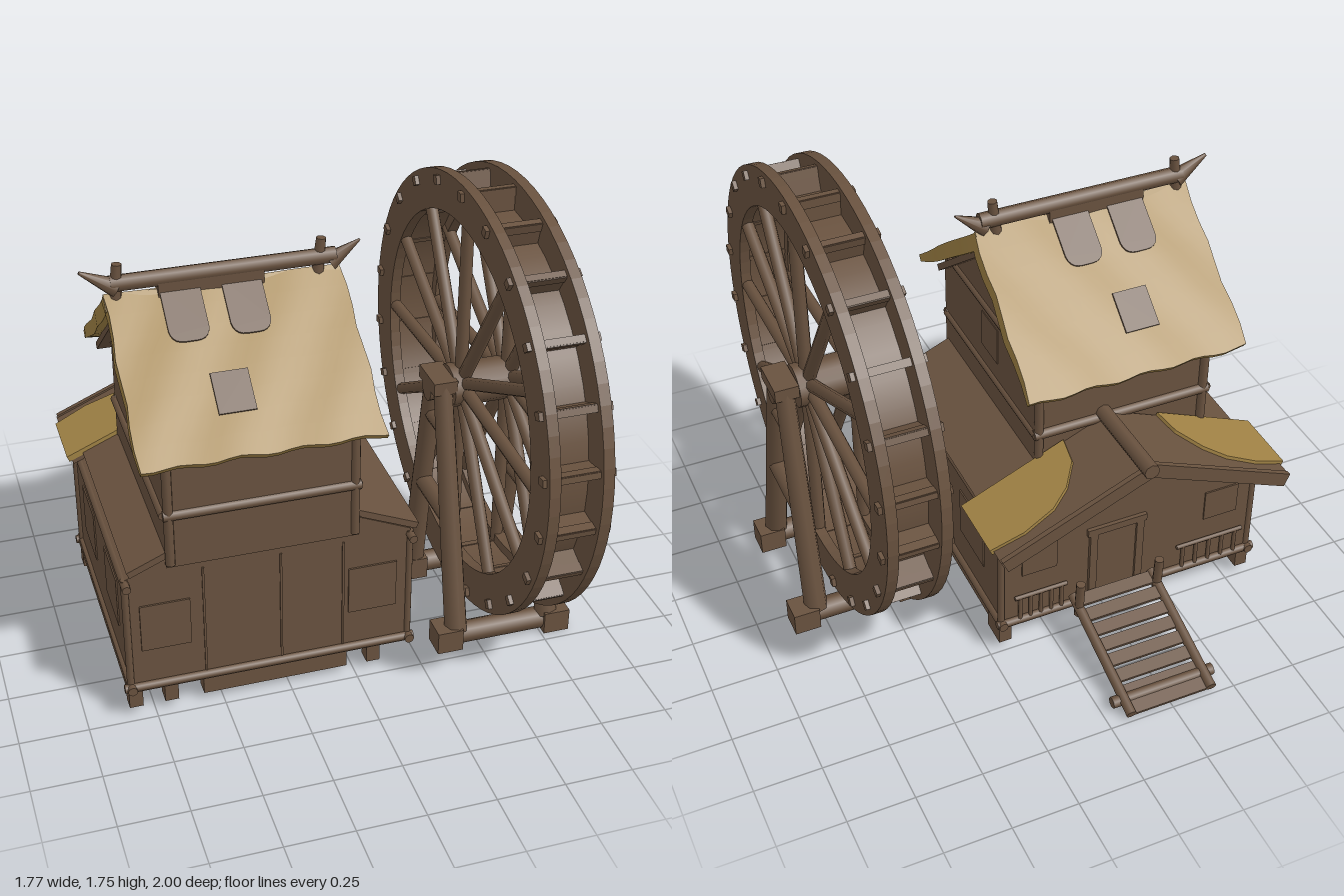
import * as THREE from 'three';

export function createModel() {
  const root = new THREE.Group();
  const timber = new THREE.MeshStandardMaterial({ color: 0x69523f });
  timber.name = 'timber';
  const thatch = new THREE.MeshStandardMaterial({ color: 0xa08245 });
  thatch.name = 'thatch';
  const openTimber = new THREE.MeshStandardMaterial({ color: 0x69523f, side: THREE.DoubleSide });
  openTimber.name = 'timber sheet';

  const add = (parent, name, geo, mat = timber) => {
    const m = new THREE.Mesh(geo, mat);
    m.name = name;
    parent.add(m);
    return m;
  };
  // box given by its min and max corners
  const box = (parent, name, a, b) => {
    const m = add(parent, name, new THREE.BoxGeometry(b[0] - a[0], b[1] - a[1], b[2] - a[2]));
    m.position.set((a[0] + b[0]) / 2, (a[1] + b[1]) / 2, (a[2] + b[2]) / 2);
    return m;
  };
  // round pole between two points
  const pole = (parent, name, a, b, r0, r1 = r0, sides = 8) => {
    const p = new THREE.Vector3(...a), q = new THREE.Vector3(...b);
    const d = q.clone().sub(p);
    const m = add(parent, name, new THREE.CylinderGeometry(r1, r0, d.length(), sides));
    m.position.copy(p).add(q).multiplyScalar(0.5);
    m.quaternion.setFromUnitVectors(new THREE.Vector3(0, 1, 0), d.normalize());
    return m;
  };
  const prism = (points, depth) => new THREE.ExtrudeGeometry(
    new THREE.Shape(points.map(p => new THREE.Vector2(...p))), { depth, bevelEnabled: false });

  // ---- lower storey ----
  const house = new THREE.Group();
  house.name = 'house';
  root.add(house);
  const lower = add(house, 'lowerWalls', prism(
    [[-0.835, 0.15], [0.2, 0.15], [0.2, 0.62], [-0.3, 0.84], [-0.835, 0.61]], 0.955));
  lower.position.z = -0.485;
  box(house, 'floor', [-0.85, 0.13, -0.5], [0.21, 0.155, 0.485]);
  for (const z of [-0.49, 0.475]) pole(house, 'floorBeam', [-0.86, 0.145, z], [0.22, 0.145, z], 0.016);
  for (const x of [-0.835, 0.2]) {
    pole(house, 'floorBeam', [x, 0.145, -0.51], [x, 0.145, 0.5], 0.018);
    pole(house, 'eaveBeam', [x, 0.595, -0.5], [x, 0.595, 0.51], 0.016);
    for (const z of [-0.48, 0.465]) pole(house, 'cornerPost', [x, 0.14, z], [x, 0.61, z], 0.014);
  }
  for (const [x, z] of [[-0.69, 0.44], [0.07, 0.44], [-0.82, -0.46], [0.185, -0.46], [-0.82, 0.44], [0.185, -0.41]])
    box(house, 'stilt', [x - 0.025, 0.05, z - 0.028], [x + 0.025, 0.14, z + 0.028]);
  box(house, 'frontSill', [-0.57, 0.045, 0.4], [-0.03, 0.13, 0.46]);
  box(house, 'rightSill', [0.12, 0.05, -0.38], [0.19, 0.13, 0.1]);

  // boards and shutters on the lower walls
  for (const x of [-0.7, 0.06]) box(house, 'frontShutter', [x - 0.09, 0.3, 0.47], [x + 0.09, 0.49, 0.477]);
  for (const x of [-0.56, -0.28, -0.05]) box(house, 'wallBatten', [x - 0.004, 0.16, 0.47], [x + 0.004, 0.61, 0.475]);
  for (const x of [-0.84, 0.199]) for (const z of [-0.22, 0.2])
    box(house, 'sideShutter', [x, 0.3, z - 0.11], [x + 0.006, 0.5, z + 0.11]);
  for (const x of [-0.7, 0.05]) box(house, 'backWindow', [x - 0.07, 0.36, -0.491], [x + 0.07, 0.49, -0.485]);

  // back door, railings and ramp
  box(house, 'door', [-0.34, 0.16, -0.49], [-0.18, 0.46, -0.485]);
  for (const x of [-0.355, -0.165]) box(house, 'doorFrame', [x - 0.015, 0.16, -0.5], [x + 0.015, 0.48, -0.48]);
  box(house, 'doorLintel', [-0.38, 0.46, -0.5], [-0.14, 0.49, -0.48]);
  for (const [x0, x1] of [[-0.8, -0.52], [-0.06, 0.15]]) {
    pole(house, 'railing', [x0, 0.26, -0.495], [x1, 0.26, -0.495], 0.009, 0.009, 6);
    for (let i = 0; i < 5; i++) {
      const x = x0 + (x1 - x0) * (i + 0.5) / 5;
      pole(house, 'railPost', [x, 0.15, -0.495], [x, 0.26, -0.495], 0.008, 0.008, 6);
    }
  }
  const ramp = new THREE.Group();
  ramp.name = 'ramp';
  root.add(ramp);
  for (const x of [-0.41, -0.085]) {
    pole(ramp, 'rampRail', [x, 0.19, -0.5], [x, 0.04, -0.99], 0.02);
    pole(ramp, 'rampPost', [x, 0.14, -0.55], [x, 0.3, -0.56], 0.018);
  }
  for (let i = 0; i < 8; i++) {
    const m = add(ramp, 'rampPlank', new THREE.BoxGeometry(0.35, 0.015, 0.05));
    m.position.set(-0.25, 0.185 - i * 0.0205, -0.53 - i * 0.062);
    m.rotation.x = -0.31;
  }
  pole(ramp, 'rampFoot', [-0.45, 0.05, -0.92], [-0.04, 0.05, -0.92], 0.022);

  // ---- lower gable roof, its ridge running front to back ----
  for (const s of [1, -1]) {
    const side = new THREE.Group();
    side.name = s > 0 ? 'lowerRoofLeft' : 'lowerRoofRight';
    side.position.set(-0.3, 0.872, 0);
    side.scale.x = s;
    root.add(side);
    const slope = new THREE.Group();
    slope.rotation.z = -0.407;
    side.add(slope);
    box(slope, 'backBoards', [0, -0.025, -0.65], [0.625, 0.003, -0.33]);
    box(slope, 'frontBoards', [0, -0.025, -0.33], [0.575, 0, 0.48]);
    const patch = add(slope, 'thatchPatch', prism(
      [[0.635, 0.33], [0.635, 0.585], [0.5, 0.6], [0.37, 0.58], [0.29, 0.53], [0.22, 0.44], [0.2, 0.33]], 0.024), thatch);
    patch.rotation.x = -Math.PI / 2;
    patch.position.y = -0.008;
    box(slope, 'bargeBoard', [0, -0.045, -0.66], [0.62, 0.01, -0.64]);
  }
  pole(root, 'lowerRidge', [-0.27, 0.88, -0.3], [-0.27, 0.89, -0.7], 0.03);

  // ---- upper storey ----
  const upper = add(root, 'upperWalls', prism(
    [[-0.495, 0.65], [0.325, 0.65], [0.325, 1.13], [-0.07, 1.46], [-0.495, 1.13]], 0.69));
  upper.rotation.y = Math.PI / 2;
  upper.position.x = -0.69;
  for (const z of [-0.325, 0.49]) {
    pole(root, 'upperBeam', [-0.695, 0.86, z], [0.005, 0.86, z], 0.02);
    for (const x of [-0.675, -0.015]) pole(root, 'upperPost', [x, 0.66, z], [x, 1.12, z], 0.018);
  }
  for (const x of [-0.693, -0.003]) {
    box(root, 'gableWindow', [x - 0.003, 0.95, 0.0], [x + 0.006, 1.1, 0.14]);
    pole(root, 'gableBeam', [x, 0.86, -0.33], [x, 0.86, 0.49], 0.016);
    pole(root, 'gableBeam', [x, 1.14, -0.33], [x, 1.14, 0.49], 0.016);
  }

  // main thatched roof: two wavy slabs meeting at the ridge, thinning at the eaves
  const pitch = Math.atan2(0.4, 0.51);
  const tongue = new THREE.Shape().moveTo(-0.07, 0).lineTo(-0.07, -0.17)
    .quadraticCurveTo(-0.065, -0.215, -0.02, -0.215).lineTo(0.02, -0.215)
    .quadraticCurveTo(0.065, -0.215, 0.07, -0.17).lineTo(0.07, 0);
  const tongueGeo = new THREE.ExtrudeGeometry(tongue, { depth: 0.008, bevelEnabled: false, curveSegments: 5 });
  for (const s of [1, -1]) {
    const side = new THREE.Group();
    side.name = s > 0 ? 'mainRoofFront' : 'mainRoofBack';
    side.position.set(-0.355, 1.5, 0.07);
    side.scale.z = s;
    root.add(side);
    const slope = new THREE.Group();
    slope.rotation.x = pitch;
    side.add(slope);
    const geo = new THREE.BoxGeometry(0.83, 0.06, 0.645, 20, 2, 8);
    const p = geo.attributes.position;
    for (let i = 0; i < p.count; i++) {
      const x = p.getX(i), y = p.getY(i), z = p.getZ(i), eave = (z + 0.3225) / 0.645;
      const thin = 1 - 0.55 * eave ** 4;
      p.setY(i, 0.03 + (y - 0.03) * thin + 0.003 * Math.sin(x * 19 + z * 11));
      p.setZ(i, z + eave * 0.006 * Math.sin(x * 31 + s));
      p.setX(i, x * (1 + 0.02 * eave) + 0.005 * Math.sin(z * 23));
    }
    geo.computeVertexNormals();
    add(slope, 'thatchSlab', geo, thatch).position.set(0, -0.033, 0.3225);
    box(slope, 'underBoards', [-0.39, -0.085, 0.02], [0.39, -0.06, 0.58]);
    // bare boards showing through the thatch
    for (const x of [-0.16, 0.055]) {
      const board = add(slope, 'ridgePatch', tongueGeo);
      board.rotation.x = -Math.PI / 2;
      board.position.set(x, -0.001, 0);
    }
    box(slope, 'roofHatch', [-0.125, 0, 0.34], [0.005, 0.008, 0.49]);
  }
  box(root, 'ridgeBoard', [-0.59, 1.47, 0.045], [-0.22, 1.54, 0.095]);
  pole(root, 'ridgeBeam', [-0.75, 1.535, 0.07], [0.04, 1.535, 0.07], 0.03);
  pole(root, 'ridgeHorn', [-0.73, 1.52, 0.07], [-0.85, 1.59, 0.07], 0.035, 0.006);
  pole(root, 'ridgeHorn', [0.02, 1.51, 0.07], [0.13, 1.58, 0.07], 0.035, 0.004);
  pole(root, 'ridgePin', [-0.735, 1.46, 0.07], [-0.722, 1.605, 0.07], 0.024, 0.018);
  pole(root, 'ridgePin', [-0.025, 1.46, 0.07], [-0.01, 1.605, 0.07], 0.024, 0.018);

  // ---- water wheel, built in its own plane and turned to face sideways ----
  const wheel = new THREE.Group();
  wheel.name = 'waterWheel';
  wheel.position.set(0.592, 0.953, 0.14);
  wheel.rotation.y = -Math.PI / 2;
  wheel.scale.y = 0.94;
  root.add(wheel);
  const ring = new THREE.Shape().absarc(0, 0, 0.86, 0, Math.PI * 2);
  ring.holes.push(new THREE.Path().absarc(0, 0, 0.705, 0, Math.PI * 2, true));
  const rimGeo = new THREE.ExtrudeGeometry(ring, { depth: 0.04, bevelEnabled: false, curveSegments: 36 });
  for (const z of [-0.115, 0.075]) add(wheel, 'rim', rimGeo).position.z = z;
  const sole = add(wheel, 'wheelSole', new THREE.CylinderGeometry(0.745, 0.745, 0.17, 48, 1, true), openTimber);
  sole.rotation.x = Math.PI / 2;
  for (let i = 0; i < 22; i++) {
    const a = (i + 0.5) / 22 * Math.PI * 2;
    const paddle = add(wheel, 'paddle', new THREE.BoxGeometry(0.1, 0.022, 0.18));
    paddle.position.set(Math.cos(a) * 0.79, Math.sin(a) * 0.79, 0);
    paddle.rotation.z = a;
    const peg = add(wheel, 'paddlePeg', new THREE.BoxGeometry(0.035, 0.03, 0.26));
    peg.position.set(Math.cos(a) * 0.82, Math.sin(a) * 0.82, 0);
    peg.rotation.z = a;
  }
  for (const z of [-0.09, 0.09]) for (let i = 0; i < 12; i++) {
    const a = i / 12 * Math.PI * 2, c = Math.cos(a), s = Math.sin(a);
    pole(wheel, 'spoke', [c * 0.04, s * 0.04 + 0.03, z], [c * 0.74, s * 0.74, z], 0.026, 0.024);
  }
  pole(wheel, 'hub', [0, 0.03, -0.14], [0, 0.03, 0.14], 0.085, 0.085, 12);

  // ---- wheel stand ----
  const stand = new THREE.Group();
  stand.name = 'wheelStand';
  root.add(stand);
  pole(stand, 'axle', [0.37, 0.98, 0.14], [0.82, 0.98, 0.14], 0.045, 0.045, 10);
  for (const [z, x0, x1] of [[0.415, 0.33, 0.86], [-0.06, 0.36, 0.88]]) {
    pole(stand, 'footBeam', [x0, 0.06, z], [x1, 0.06, z], 0.042);
    for (const x of [x0 + 0.05, x1 - 0.05]) box(stand, 'footBlock', [x - 0.05, 0.015, z - 0.05], [x + 0.05, 0.105, z + 0.05]);
  }
  for (const x of [0.415, 0.78]) {
    pole(stand, 'frontLeg', [x, 0.08, 0.42], [x, 1.03, 0.18], 0.045, 0.036);
    pole(stand, 'backLeg', [x, 0.08, -0.06], [x, 1.03, 0.1], 0.045, 0.036);
    pole(stand, 'lowerBrace', [x, 0.51, 0.31], [x, 0.51, 0.01], 0.035);
    pole(stand, 'upperBrace', [x, 0.84, 0.23], [x, 0.84, 0.06], 0.028);
    box(stand, 'axleCap', [x - 0.045, 0.99, 0.06], [x + 0.045, 1.04, 0.22]);
  }
  return root;
}
